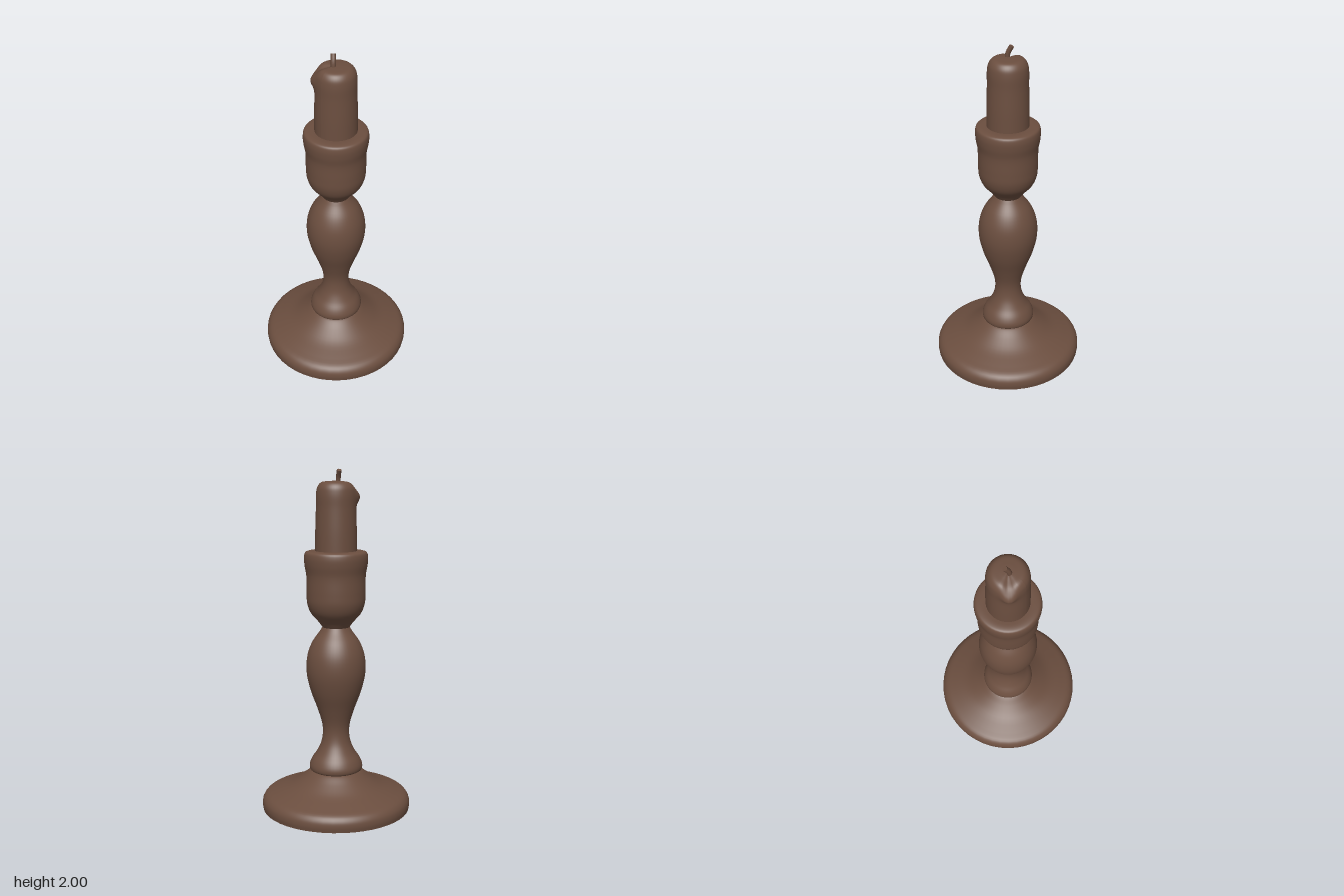
import * as THREE from 'three';

const SEGMENTS = 48;

// Smooth curve through [radius, height] points, turned around the y axis
function turned(points, steps) {
  const curve = new THREE.CatmullRomCurve3(
    points.map(([r, y]) => new THREE.Vector3(r, y, 0)), false, 'centripetal');
  const profile = curve.getPoints(steps).map(p => new THREE.Vector2(Math.max(p.x, 0), p.y));
  return new THREE.LatheGeometry(profile, SEGMENTS);
}

export function createModel() {
  const model = new THREE.Group();
  model.name = 'candlestick';
  const brown = new THREE.MeshStandardMaterial({ color: 0x6b4e3f });
  brown.name = 'brown';

  const add = (name, geometry) => {
    const mesh = new THREE.Mesh(geometry, brown);
    mesh.name = name;
    model.add(mesh);
    return mesh;
  };

  // Flat underside
  add('underside', new THREE.CircleGeometry(0.437, SEGMENTS).rotateX(Math.PI / 2));

  // Broad foot
  add('foot', turned([[0.437, 0], [0.441, 0.03], [0.436, 0.06], [0.415, 0.087], [0.36, 0.11],
    [0.27, 0.145], [0.2, 0.19], [0.155, 0.225], [0.142, 0.232]], 32));

  // Collar and swelling stem
  add('stem', turned([[0.142, 0.23], [0.154, 0.238], [0.157, 0.262], [0.143, 0.3], [0.113, 0.345],
    [0.088, 0.4], [0.078, 0.46], [0.083, 0.52], [0.11, 0.61], [0.15, 0.72], [0.173, 0.83],
    [0.167, 0.93], [0.137, 1.01], [0.095, 1.07], [0.078, 1.098]], 56));

  // Cup with a rolled lip
  add('cup', turned([[0.078, 1.094], [0.1, 1.125], [0.147, 1.18], [0.167, 1.235], [0.171, 1.3],
    [0.172, 1.4], [0.182, 1.46], [0.184, 1.505], [0.177, 1.53], [0.155, 1.538],
    [0.1, 1.538]], 48));

  // Candle, with a melted bulge towards the front right and a sagging top
  const candle = turned([[0.12, 1.53], [0.119, 1.65], [0.115, 1.78], [0.114, 1.86],
    [0.106, 1.9], [0.085, 1.925], [0.045, 1.932], [0, 1.934]], 40);
  const pos = candle.attributes.position;
  for (let i = 0; i < pos.count; i++) {
    const x = pos.getX(i), y = pos.getY(i), z = pos.getZ(i);
    const radius = Math.hypot(x, z);
    const turn = Math.atan2(z, x) - 2.45;
    const side = Math.exp(-(Math.atan2(Math.sin(turn), Math.cos(turn)) ** 2) / 0.1);
    const bulge = 1 + 0.2 * side * Math.exp(-(((y - 1.86) / 0.05) ** 2));
    const sag = y > 1.8 ? 0.03 * side * (radius / 0.115) * (y - 1.8) / 0.13 : 0;
    pos.setXYZ(i, x * bulge, y - sag, z * bulge);
  }
  candle.computeVertexNormals();
  add('candle', candle);

  // Bent wick with a closed tip
  const path = new THREE.CatmullRomCurve3([
    new THREE.Vector3(-0.005, 1.915, 0.015), new THREE.Vector3(-0.009, 1.955, 0.011),
    new THREE.Vector3(-0.023, 1.994, -0.003)]);
  add('wick', new THREE.TubeGeometry(path, 8, 0.014, 8, false));
  const tip = add('wickTip', new THREE.CircleGeometry(0.014, 8));
  tip.position.copy(path.getPoint(1));
  tip.lookAt(path.getPoint(1).add(path.getTangent(1)));

  return model;
}
